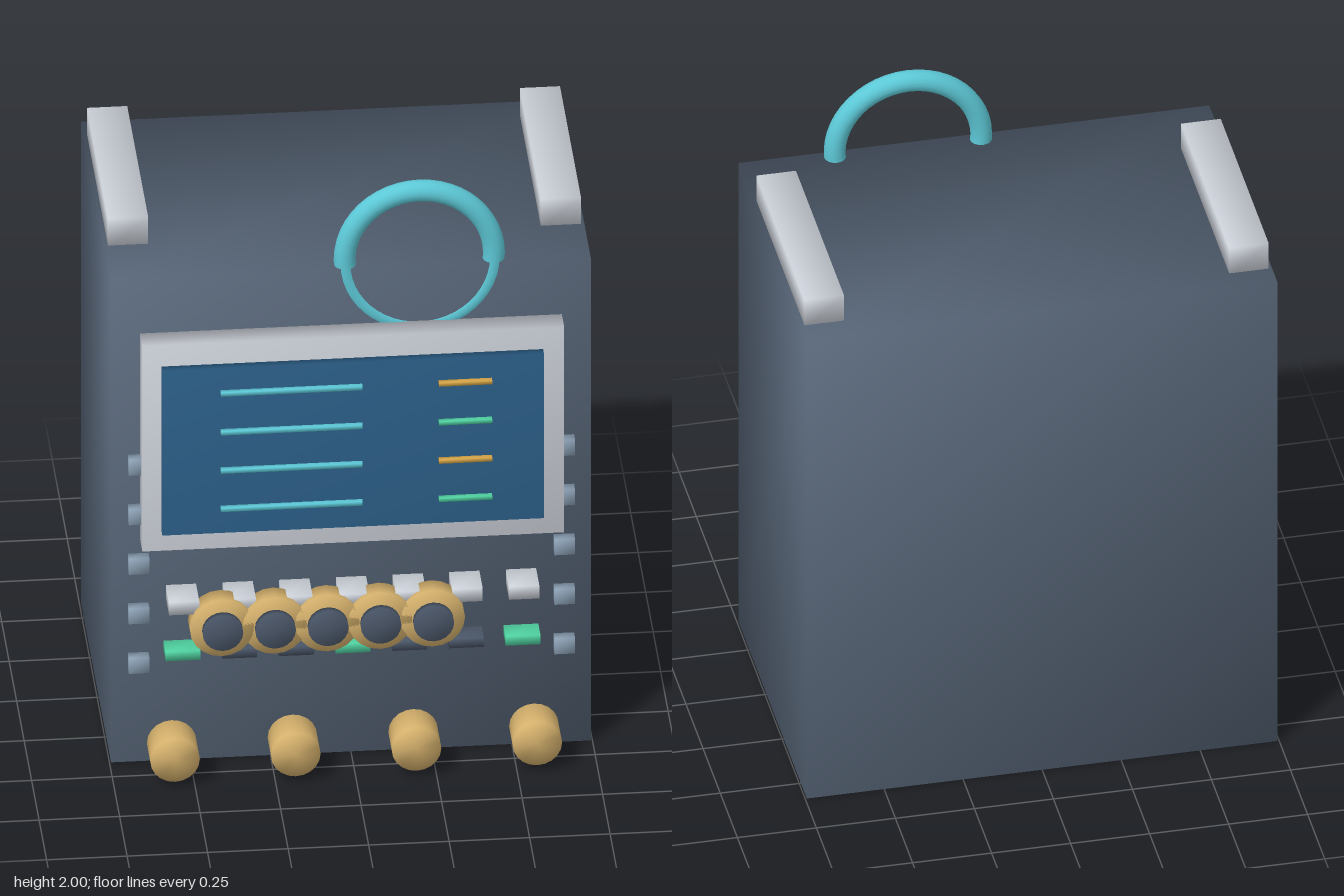
import * as THREE from 'three';
import { mergeVertices } from 'three/addons/utils/BufferGeometryUtils.js';

const mat = (name, color) => {
  const m = new THREE.MeshStandardMaterial({ color });
  m.name = name;
  return m;
};

// Share corner vertices so that shading flows softly around every edge
function soften(geometry) {
  geometry.deleteAttribute('normal');
  geometry.deleteAttribute('uv');
  const merged = mergeVertices(geometry, 1e-4);
  merged.computeVertexNormals();
  return merged;
}

export function createModel() {
  const model = new THREE.Group();
  model.name = 'controlConsole';

  const slate = mat('slate casing', 0x566476);
  const silver = mat('silver', 0xcdd2da);
  const teal = mat('teal', 0x5cc8d6);
  const blue = mat('screen blue', 0x2c608a);
  const gold = mat('gold', 0xd4b06c);
  const amber = mat('amber', 0xd6a548);
  const green = mat('green', 0x4fd0a0);
  const steel = mat('steel blue', 0x8ba0b4);
  const dark = mat('dark slate', 0x4a5668);

  const add = (name, geometry, material, x, y, z) => {
    const mesh = new THREE.Mesh(geometry, material);
    mesh.name = name;
    mesh.position.set(x, y, z);
    model.add(mesh);
    return mesh;
  };
  // Box given by its centre in x and y, and by its back and front in z
  const box = (name, material, x, y, w, h, z0, z1) =>
    add(name, soften(new THREE.BoxGeometry(w, h, z1 - z0)), material, x, y, (z0 + z1) / 2);
  // Disc facing the front
  const disc = (name, material, x, y, r, z0, z1) =>
    add(name, soften(new THREE.CylinderGeometry(r, r, z1 - z0, 20).rotateX(Math.PI / 2)),
      material, x, y, (z0 + z1) / 2);

  // Casing and top rails
  box('casing', slate, 0, 0.858, 1.49, 1.715, -0.586, 0.41);
  for (const s of [-1, 1]) {
    box(s < 0 ? 'rightRail' : 'leftRail', silver, s * 0.672, 1.757, 0.125, 0.106, -0.505, 0.195);
  }

  // Ring handle, half sunk into the casing
  add('ringHandle', new THREE.TorusGeometry(0.232, 0.034, 16, 48), teal, 0.215, 1.734, 0.38);

  // Display
  box('screenFrame', silver, 0, 1.155, 1.31, 0.73, 0.405, 0.49);
  box('screen', blue, -0.003, 1.152, 1.185, 0.585, 0.485, 0.518);
  [1.36, 1.222, 1.086, 0.95].forEach((y, i) => {
    box('longReadout', teal, -0.195, y, 0.44, 0.014, 0.515, 0.535);
    box('shortReadout', i % 2 ? green : amber, 0.345, y, 0.165, 0.014, 0.515, 0.535);
  });

  // Side buttons down both edges
  for (const s of [-1, 1]) {
    for (let i = 0; i < 5; i++) {
      box('sideButton', steel, s * 0.661, 0.36 + i * 0.176, 0.064, 0.055, 0.405, 0.446);
    }
  }

  // Two rows of keys
  for (let i = 0; i < 7; i++) {
    const x = (i - 3) * 0.176;
    box('upperKey', silver, x, 0.599, 0.094, 0.046, 0.405, 0.52);
    box('lowerKey', i % 3 ? dark : green, x, 0.408, 0.108, 0.033, 0.405, 0.482);
  }

  // Overlapping dials with dark caps
  for (let i = 0; i < 5; i++) {
    const x = -0.412 + i * 0.1637;
    disc('dial', gold, x, 0.531, 0.1, 0.472, 0.535);
    disc('dialCap', dark, x, 0.531, 0.063, 0.547, 0.568);
  }

  // Lower knobs
  for (let i = 0; i < 4; i++) {
    disc('lowerKnob', gold, (i - 1.5) * 0.375, 0.098, 0.077, 0.47, 0.586);
  }

  return model;
}
